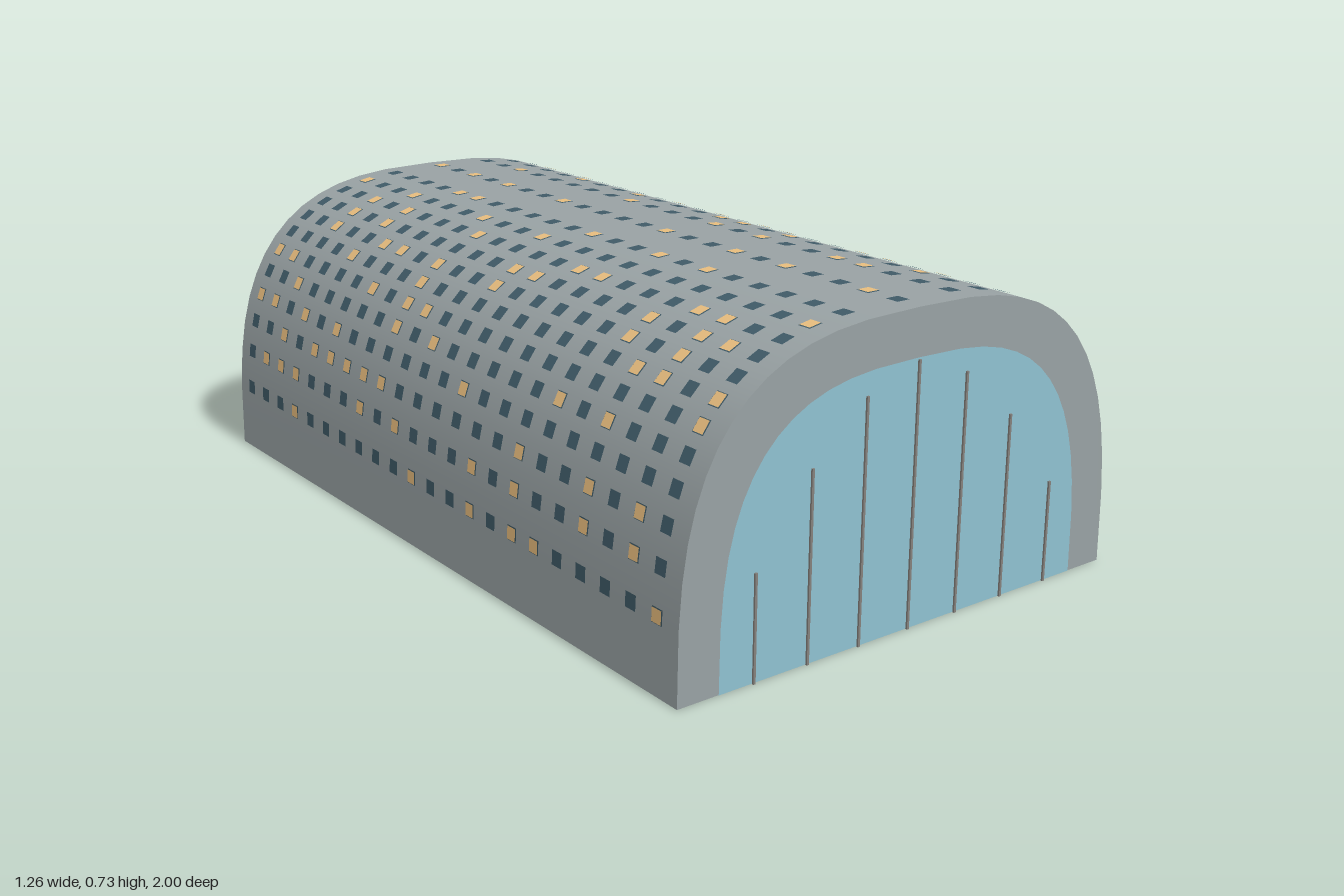
import * as THREE from 'three';
import { mergeGeometries, toCreasedNormals } from 'three/addons/utils/BufferGeometryUtils.js';

const HALF_W = 0.63, HEIGHT = 0.724, HALF_L = 0.994;
const STEPS = 13, ROWS = 22; // window steps per quarter arch, rows along z

const paint = (name, color) => {
  const m = new THREE.MeshStandardMaterial({ color });
  m.name = name;
  return m;
};

// Point on a cubic superellipse arch, t from 0 (+x foot) to PI (-x foot)
function archPoint(t, w, h) {
  const c = Math.cos(t), s = Math.max(0, Math.sin(t));
  return new THREE.Vector2(Math.sign(c) * w * Math.abs(c) ** (2 / 3), h * s ** (2 / 3));
}

function archShape(w, h, segments = 28) {
  const pts = [];
  for (let i = 0; i <= segments; i++) pts.push(archPoint(Math.PI * i / segments, w, h));
  return new THREE.Shape(pts);
}

// Lit rows (counted from the front) for each window line, by line number
const LIT = {
  1: [6, 11, 13, 16, 17, 18, 21],
  2: [1, 3, 5, 6, 7, 10, 14, 19, 21],
  3: [0, 1, 2, 6, 7, 10, 13, 15, 18],
  4: [1, 2, 8, 12, 18, 19],
  5: [0, 3, 4, 5, 6, 8, 10, 11, 15, 20],
  6: [0, 1, 3, 7, 8, 10, 12, 20, 21],
  7: [1, 7, 8, 9, 20],
  8: [2, 6, 8, 14, 21],
  9: [4, 8, 11, 20],
  10: [2, 4, 5, 8, 9, 11, 13, 18, 20],
  11: [2, 7, 9, 10, 14, 17],
  12: [3, 4, 7, 9, 13, 19],
  13: [1, 4, 6, 9, 14, 17, 19, 21],
  14: [5, 7, 10, 16, 17],
  15: [0, 11, 14, 18, 21],
  16: [2, 3, 7, 8, 13, 17, 19],
  17: [1, 2, 4, 9, 10, 17, 19],
  18: [2, 4, 10, 13, 15, 16, 19],
};

export function createModel() {
  const model = new THREE.Group();
  model.name = 'archedHall';
  const shellMat = paint('concrete grey', 0x98a1a3);
  const glassMat = paint('pale blue glass', 0x8fc1d0);
  const mullionMat = paint('grey mullion', 0x84807c);
  const windowMat = paint('dark window', 0x3f5a67);
  const litMat = paint('warm lit window', 0xecc080);
  const floorMat = paint('amber floor', 0xe0a04c);

  const add = (name, geometry, material, x = 0, y = 0, z = 0) => {
    const mesh = new THREE.Mesh(geometry, material);
    mesh.name = name;
    mesh.position.set(x, y, z);
    model.add(mesh);
    return mesh;
  };

  // Arched solid shell
  const shell = new THREE.ExtrudeGeometry(archShape(HALF_W, HEIGHT), { depth: 2 * HALF_L, bevelEnabled: false });
  shell.translate(0, 0.001, -HALF_L);
  add('shell', toCreasedNormals(shell, 0.6), shellMat);

  // Floor panel on the underside
  add('floor', new THREE.PlaneGeometry(1.04, 2 * HALF_L).rotateX(Math.PI / 2), floorMat);

  // Glazed end walls with mullions, front and back
  const mullionHeights = [[0, 0.612], [0.145, 0.56], [0.29, 0.435], [0.435, 0.245]];
  for (const side of [1, -1]) {
    const end = side > 0 ? 'front' : 'back';
    const glass = add(end + 'Glass', new THREE.ShapeGeometry(archShape(0.525, 0.615)), glassMat, 0, 0.001, side * (HALF_L + 0.0015));
    if (side < 0) glass.rotation.y = Math.PI;
    for (const [x, h] of mullionHeights) {
      for (const sx of x ? [1, -1] : [1]) {
        add(end + 'Mullion', new THREE.BoxGeometry(0.006, h, 0.008), mullionMat, sx * x, h / 2, side * 0.996);
      }
    }
  }

  // Flat windows following the arch; lit ones carry a smaller warm pane
  let seed = 7;
  const random = () => (seed = (seed * 16807) % 2147483647) / 2147483647;
  const frames = [], panes = [];
  for (let k = 1; k < 2 * STEPS; k++) {
    const p = archPoint(Math.PI * k / (2 * STEPS), HALF_W, HEIGHT);
    const n = new THREE.Vector2(Math.sign(p.x) * p.x ** 2 / HALF_W ** 3, p.y ** 2 / HEIGHT ** 3).normalize();
    const angle = Math.atan2(-n.x, n.y);
    const plate = (size, lift, z) => new THREE.PlaneGeometry(size, size).rotateX(-Math.PI / 2)
      .rotateZ(angle).translate(p.x + n.x * lift, p.y + 0.001 + n.y * lift, z);
    for (let i = 0; i < ROWS; i++) {
      const z = 0.925 - i * 1.85 / (ROWS - 1);
      frames.push(plate(0.035, 0.0015, z));
      const lit = LIT[k] ? LIT[k].includes(i) : random() < 0.3;
      if (lit) panes.push(plate(0.031, 0.003, z));
    }
  }
  add('windows', mergeGeometries(frames), windowMat);
  add('litWindows', mergeGeometries(panes), litMat);

  return model;
}
